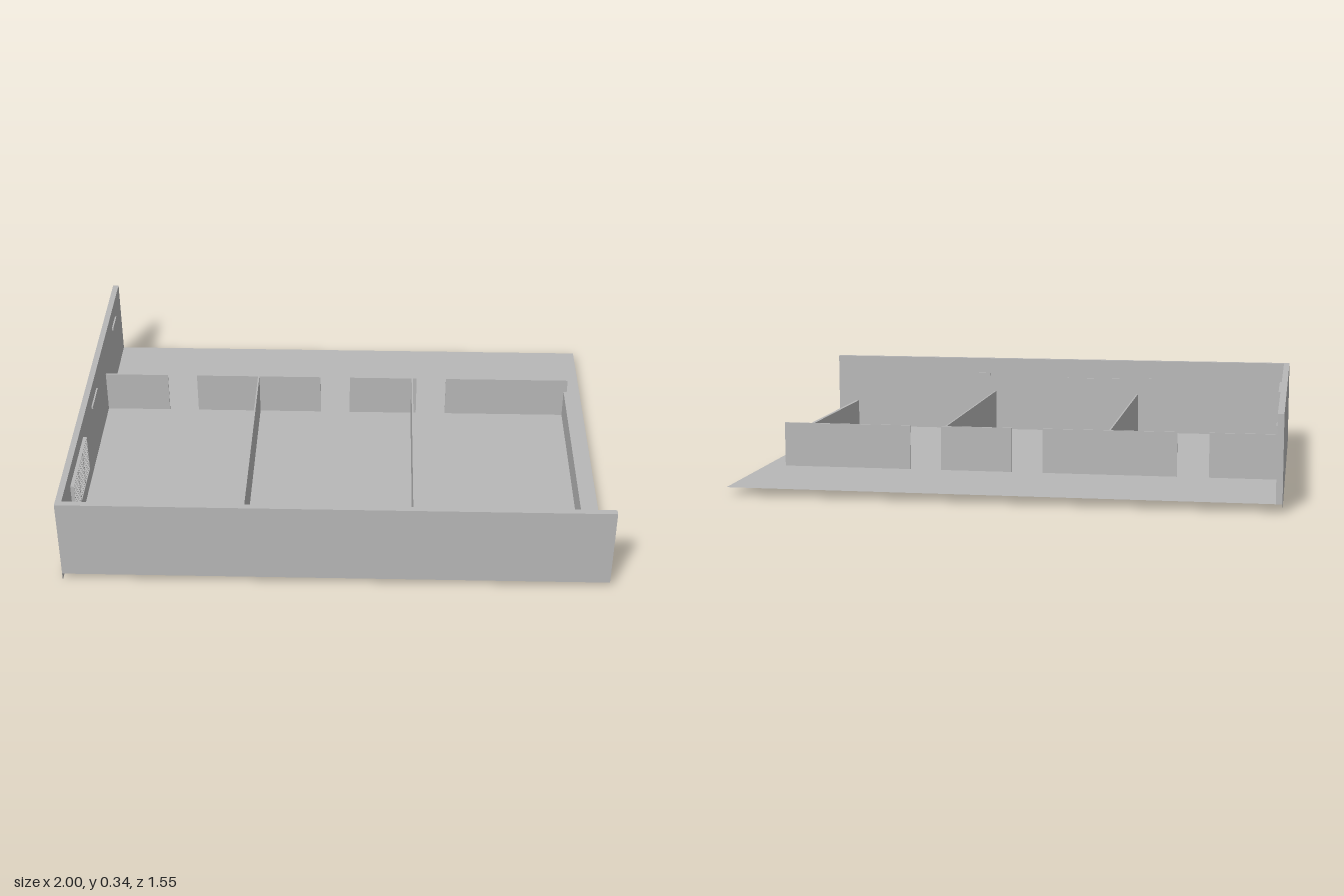
import * as THREE from 'three';

export function createModel() {
  const model = new THREE.Group();
  const grey = new THREE.MeshStandardMaterial({ color: 0xb8b8b8, side: THREE.DoubleSide });
  grey.name = 'plaster grey';

  // Box given by its extents along each axis
  const box = (name, [x0, x1], [y0, y1], [z0, z1], parent = model) => {
    const mesh = new THREE.Mesh(new THREE.BoxGeometry(x1 - x0, y1 - y0, z1 - z0), grey);
    mesh.position.set((x0 + x1) / 2, (y0 + y1) / 2, (z0 + z1) / 2);
    mesh.name = name;
    parent.add(mesh);
    return mesh;
  };

  const ground = 0.03, top = 0.345, low = 0.2, end = 0.775;
  const inX = -0.977, inZ = 0.752;

  // Floor sheet
  const floor = new THREE.Mesh(new THREE.PlaneGeometry(2, 2 * end), grey);
  floor.rotation.x = -Math.PI / 2;
  floor.position.y = ground;
  floor.name = 'floor';
  model.add(floor);

  // Tall outer walls, with a thin skirt under the side wall
  box('frontWall', [-1, 1], [ground, top], [inZ, end]);
  box('sideWall', [-1, inX], [ground, top], [-end, inZ]);
  const skirt = new THREE.Mesh(new THREE.PlaneGeometry(2 * end, ground), grey);
  skirt.rotation.y = -Math.PI / 2;
  skirt.position.set(-1, ground / 2, 0);
  skirt.name = 'sideWallSkirt';
  model.add(skirt);

  // Low parapet and the partitions between rooms
  box('parapet', [0.911, 0.924], [ground, 0.145], [-0.3, inZ]);
  for (const x of [-0.345, 0.286]) {
    box('partition', [x - 0.003, x + 0.003], [ground, low], [-0.3, inZ]);
  }

  // Corridor wall, broken by three doorways
  for (const span of [[inX, -0.72], [-0.6, -0.09], [0.03, 0.305], [0.425, 0.924]]) {
    box('corridorWall', span, [ground, low], [-0.304, -0.298]);
  }

  // Three-bay slatted window on the side wall
  const win = new THREE.Group();
  win.name = 'slattedWindow';
  model.add(win);
  const [z0, z1, y0, y1] = [0.27, 0.585, 0.135, 0.285];
  const depth = [inX, -0.963];
  for (let i = 0; i <= 3; i++) {
    const z = z0 + (z1 - z0) * i / 3;
    box('windowPost', depth, [y0, y1], [Math.max(z0, z - 0.002), Math.min(z1, z + 0.002)], win);
  }
  for (let i = 0; i <= 8; i++) {
    const y = y0 + (y1 - y0 - 0.003) * i / 8;
    box('windowSlat', depth, [y, y + 0.003], [z0, z1], win);
  }

  // Thin wall lamps on the side wall
  for (const [a, b] of [[-0.625, -0.53], [-0.075, 0.055]]) {
    box('sideLamp', [inX, -0.971], [0.268, 0.28], [a, b]);
  }

  // Thin fittings on the inside of the front wall
  const fittings = [
    ['noticeBoard', [-0.485, -0.395], [0.2, 0.27]],
    ['wallBoard', [-0.275, -0.035], [0.14, 0.265]],
    ['frontLamp', [0.31, 0.395], [0.268, 0.28]],
    ['wallClock', [0.585, 0.62], [0.3, 0.33]],
  ];
  for (const [name, x, y] of fittings) box(name, x, y, [inZ - 0.005, inZ]);

  return model;
}
